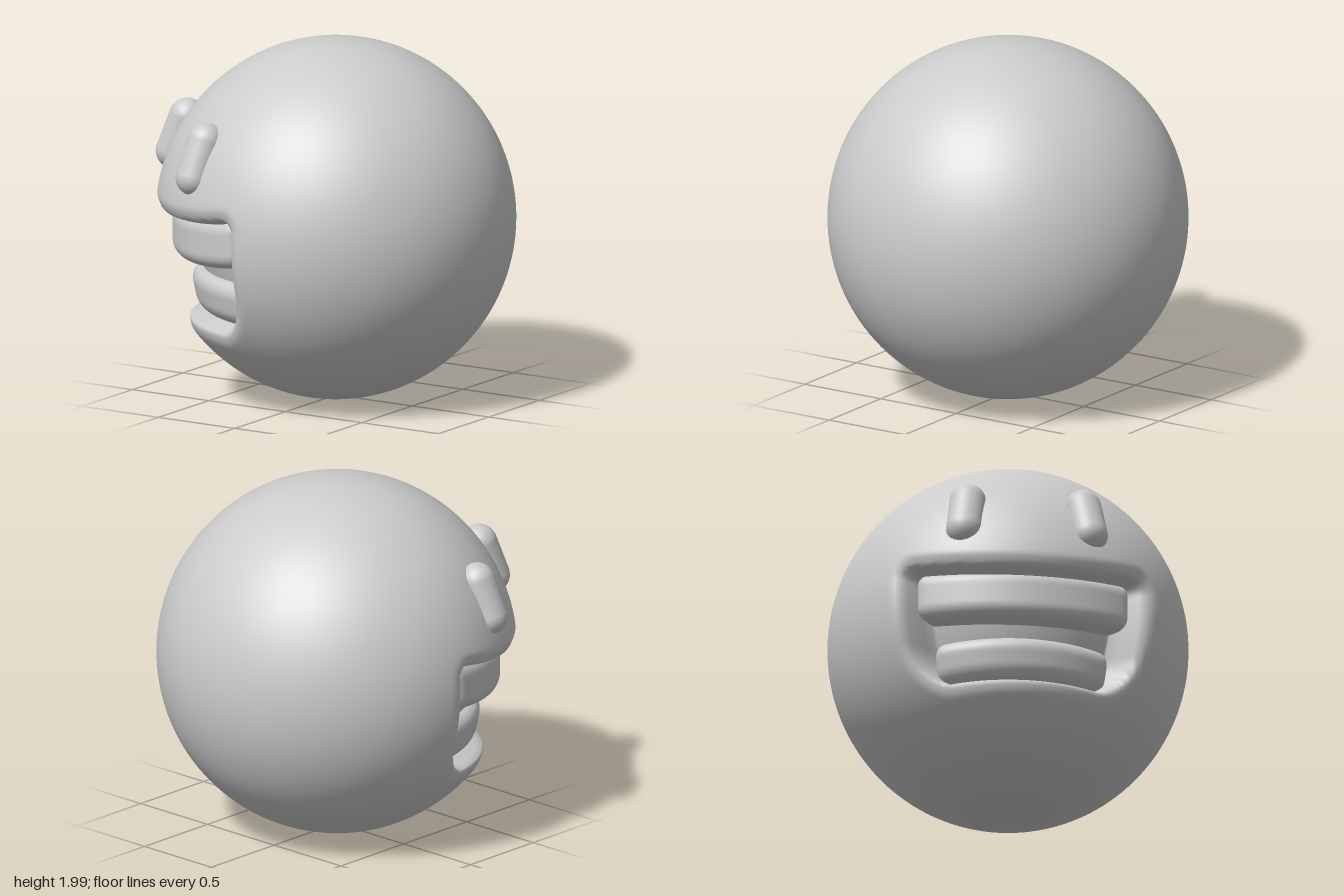
import * as THREE from 'three';
import { mergeVertices } from 'three/addons/utils/BufferGeometryUtils.js';

const material = new THREE.MeshStandardMaterial({ color: 0xcccccc });
const { clamp, smoothstep } = THREE.MathUtils;

// Moves every vertex by a rule, welds the seams and smooths the normals
function reshape(geometry, rule) {
  const pos = geometry.attributes.position;
  const v = new THREE.Vector3();
  for (let i = 0; i < pos.count; i++) {
    rule(v.fromBufferAttribute(pos, i));
    pos.setXYZ(i, v.x, v.y, v.z);
  }
  geometry.deleteAttribute('uv');
  geometry.deleteAttribute('normal');
  const welded = mergeVertices(geometry, 1e-4);
  welded.computeVertexNormals();
  return welded;
}

function add(group, name, geometry) {
  const mesh = new THREE.Mesh(geometry, material);
  mesh.name = name;
  group.add(mesh);
  return mesh;
}

// Signed distance to the mouth outline; a is the angle from the face centre
function mouthDistance(a, y) {
  const top = 1.06 + 0.07 * Math.min(1, (a / 0.75) ** 2);
  const bottom = 0.47;
  const mid = (top + bottom) / 2;
  const r = y < mid ? 0.24 : 0.06;
  const dx = Math.abs(a) - 0.75 + r;
  const dy = Math.abs(y - mid) - (top - bottom) / 2 + r;
  return Math.hypot(Math.max(dx, 0), Math.max(dy, 0)) + Math.min(Math.max(dx, dy), 0) - r;
}

// Ball with a soft-lipped mouth pressed in; the grid is denser around the face
function bodyGeometry() {
  return reshape(new THREE.SphereGeometry(1, 200, 180), (v) => {
    const t = Math.atan2(v.x, v.z);
    const a = t - 0.5 * Math.sin(t);
    const y = 1 + 0.995 * v.y;
    const d = mouthDistance(a, y);
    const lip = 0.04 * (1 - smoothstep(d, -0.02, 0.09));
    const depth = 0.17 + 0.12 * clamp(1 - y, 0, 0.5);
    const cavity = depth * (1 - smoothstep(d, -0.05, 0.02));
    const r = 0.985 * Math.hypot(v.x, v.z) * (1 - lip - cavity);
    v.set(r * Math.sin(a), y, r * Math.cos(a));
  });
}

// Rounded slab bent round the vertical axis
function teethGeometry({ halfAngle, y, height, depth, front, round, rise, slope }) {
  const half = new THREE.Vector3(halfAngle, height / 2, depth / 2);
  const inner = half.clone().subScalar(round);
  const low = inner.clone().negate();
  const core = new THREE.Vector3();
  const box = new THREE.BoxGeometry(halfAngle * 2, height, depth, 60, 20, 14);
  return reshape(box, (v) => {
    core.copy(v).clamp(low, inner);
    v.sub(core).setLength(round).add(core);
    const r = front - depth / 2 + v.z + slope * v.y;
    const lift = rise * (v.x / halfAngle) ** 2;
    v.set(r * Math.sin(v.x), y + v.y + lift, r * Math.cos(v.x));
  });
}

export function createModel() {
  const model = new THREE.Group();
  model.name = 'smilingBall';

  // The face is turned towards the model's right
  const head = new THREE.Group();
  head.name = 'head';
  head.rotation.y = -0.83;
  model.add(head);

  add(head, 'body', bodyGeometry());

  add(head, 'upperTeeth', teethGeometry({
    halfAngle: 0.75, y: 0.945, height: 0.28, depth: 0.2, front: 0.89, round: 0.08, rise: 0.05, slope: 0,
  }));
  add(head, 'lowerTeeth', teethGeometry({
    halfAngle: 0.7, y: 0.615, height: 0.25, depth: 0.2, front: 0.77, round: 0.09, rise: 0, slope: 0.2,
  }));

  // Upright oval eyes leaning back with the surface
  for (const side of [-1, 1]) {
    const pivot = new THREE.Group();
    pivot.name = side > 0 ? 'leftEye' : 'rightEye';
    pivot.rotation.y = side * 0.39;
    head.add(pivot);
    const eye = add(pivot, 'eye', new THREE.CapsuleGeometry(0.1, 0.21, 10, 28));
    eye.position.set(0, 1.425, 0.87);
    eye.rotation.x = -0.36;
  }
  return model;
}
